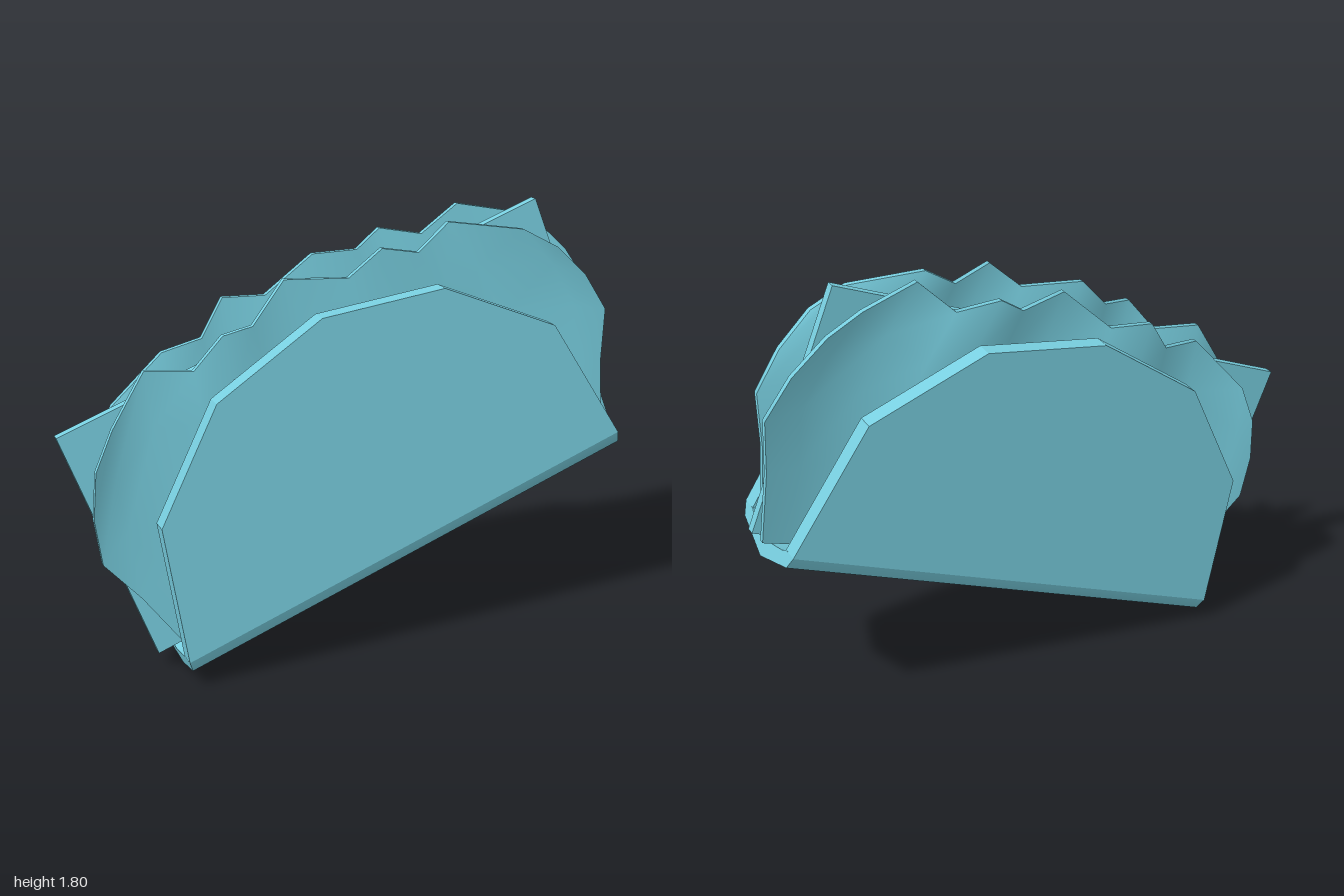
import * as THREE from 'three';
import { toCreasedNormals } from 'three/addons/utils/BufferGeometryUtils.js';

const material = new THREE.MeshStandardMaterial({ color: 0x78cfe0, side: THREE.DoubleSide });

function part(name, geometry, parent) {
  const mesh = new THREE.Mesh(geometry, material);
  mesh.name = name;
  parent.add(mesh);
  return mesh;
}

const shapeOf = (points) => new THREE.Shape(points.map(([x, y]) => new THREE.Vector2(x, y)));

// Ragged upper edge of a leaf, and how far each row spreads sideways from bottom to top
const fringe = [
  [-1.03, 1.0], [-0.9, 1.11], [-0.69, 1.25], [-0.52, 1.18], [-0.37, 1.27], [-0.24, 1.24], [-0.04, 1.33],
  [0.19, 1.24], [0.35, 1.3], [0.5, 1.2], [0.68, 1.24], [0.94, 1.1], [1.05, 0.97],
];
const spread = [0.96, 1.04, 1.12, 1.08, 1];

// Leaf: a thin board fitted under the fringe, rippling more towards the top
function leafGeometry() {
  const cols = fringe.length - 1;
  const rows = spread.length - 1;
  const bottom = 0.13;
  const geometry = new THREE.BoxGeometry(cols, rows, 0.025, cols, rows, 1);
  const pos = geometry.attributes.position;
  for (let i = 0; i < pos.count; i++) {
    const [topU, topV] = fringe[Math.round(pos.getX(i) + cols / 2)];
    const row = Math.round(pos.getY(i) + rows / 2);
    const t = row / rows;
    const wave = Math.cos(((topU + 0.37) / 0.7) * Math.PI * 2);
    const w = 0.1 + 0.035 * t + wave * (0.02 + 0.03 * t);
    pos.setXYZ(i, topU * spread[row], bottom + (topV - bottom) * t ** 0.8, w + pos.getZ(i));
  }
  geometry.computeVertexNormals();
  return geometry;
}

export function createModel() {
  const model = new THREE.Group();
  model.name = 'tacoModel';
  const taco = new THREE.Group();
  taco.name = 'taco';
  model.add(taco);

  const thickness = 0.075;
  const half = 1.02;
  const foldTop = 0.12;
  const outer = 0.255;
  const inner = outer - thickness;

  // Two faceted half-round shell walls, leaning slightly outwards
  const wallShape = shapeOf([
    [-half, 0], [half, 0], [0.9, 0.58], [0.51, 0.945],
    [0, 1.065], [-0.51, 0.945], [-0.9, 0.58],
  ]);
  for (const side of [1, -1]) {
    const geometry = new THREE.ExtrudeGeometry(wallShape, { depth: thickness, bevelEnabled: false });
    geometry.translate(0, 0, -thickness / 2);
    const wall = part(side > 0 ? 'frontShellWall' : 'backShellWall', geometry, taco);
    wall.position.set(0, foldTop, side * (outer - thickness / 2));
    wall.rotation.x = side * 0.025;
  }

  // Folded bottom joining the walls
  const foldShape = shapeOf([
    [-outer, foldTop], [-0.225, 0.065], [0, 0], [0.225, 0.065], [outer, foldTop],
    [inner, foldTop], [0.155, 0.105], [0, 0.07], [-0.155, 0.105], [-inner, foldTop],
  ]);
  const fold = new THREE.ExtrudeGeometry(foldShape, { depth: half * 2, bevelEnabled: false });
  fold.translate(0, 0, -half);
  fold.rotateY(Math.PI / 2);
  part('shellFold', toCreasedNormals(fold, 0.9), taco);

  // Flat slice between two leaves, the back leaf being the front one turned round
  part('flatSlice', new THREE.BoxGeometry(2.19, 1.035, 0.04), taco).position.set(0, 0.6175, 0);
  const leaf = leafGeometry();
  part('frontLeaf', leaf, taco);
  const backLeaf = part('backLeaf', leaf, taco);
  backLeaf.rotation.y = Math.PI;
  backLeaf.position.set(0.11, -0.015, 0);

  // Tilted resting pose: along, up and across axes
  const along = new THREE.Vector3(0.724, 0.347, -0.597).normalize();
  const up = new THREE.Vector3(-0.301, 0.936, 0.18);
  const across = new THREE.Vector3().crossVectors(along, up).normalize();
  up.crossVectors(across, along);
  taco.setRotationFromMatrix(new THREE.Matrix4().makeBasis(along, up, across));

  // Settle on the ground and centre
  model.updateMatrixWorld(true);
  const box = new THREE.Box3().setFromObject(model, true);
  const centre = box.getCenter(new THREE.Vector3());
  taco.position.set(-centre.x, -box.min.y, -centre.z);
  return model;
}
